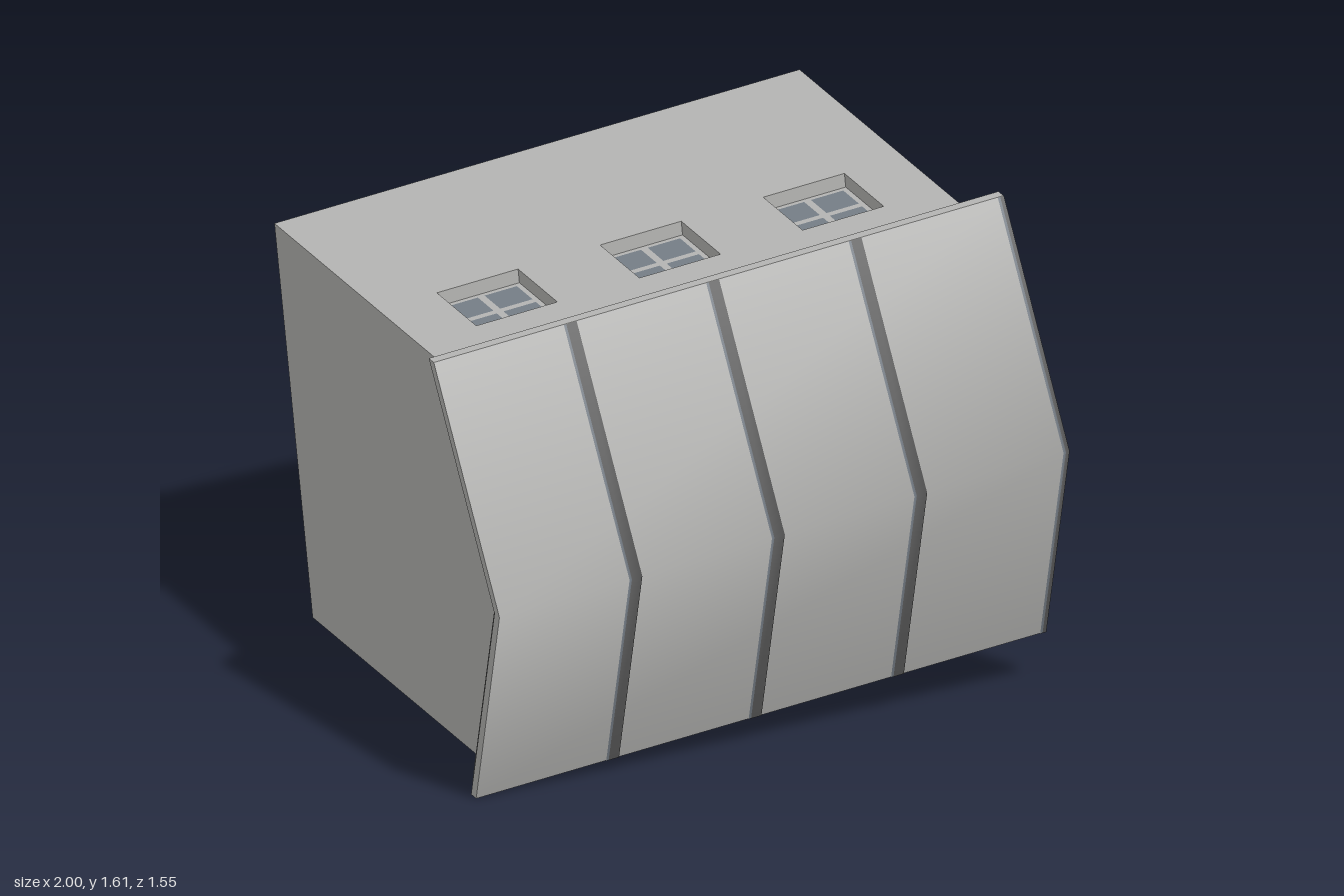
import * as THREE from 'three';

const mat = (name, color) => {
  const m = new THREE.MeshStandardMaterial({ color, side: THREE.DoubleSide });
  m.name = name;
  return m;
};

// Overall dimensions
const W = 0.861, H = 0.648, BACK = -0.772, LAYERS = 4;
const halfW = k => 0.934 - 0.01825 * k;
const halfH = k => 0.717 - 0.01725 * k;
const bentZ = (offset, y) => 0.772 - 0.034 * offset - 0.42 * Math.abs(y);

// Outline of the bent facade: size of layer k, at depth offset
const outline = (k, offset) => {
  const w = halfW(k), h = halfH(k);
  return [[w, h], [-w, h], [-w, 0], [-w, -h], [w, -h], [w, 0]]
    .map(([x, y]) => [x, y, bentZ(offset, y)]);
};

// Flat-shaded strip of quads between two outlines
function band(a, b, closed = true) {
  const pos = [], n = a.length;
  for (let i = 0; i < (closed ? n : n - 1); i++) {
    const j = (i + 1) % n;
    pos.push(...a[i], ...a[j], ...b[i], ...a[j], ...b[j], ...b[i]);
  }
  const g = new THREE.BufferGeometry();
  g.setAttribute('position', new THREE.Float32BufferAttribute(pos, 3));
  g.computeVertexNormals();
  return g;
}

// Sheet folded outward along its middle, shaded smoothly
function bentSheet(x, width, height, lift) {
  const g = new THREE.PlaneGeometry(width, height, 1, 2).translate(x, 0, 0);
  const p = g.attributes.position;
  for (let i = 0; i < p.count; i++) p.setZ(i, bentZ(0, p.getY(i)) + lift);
  const flat = g;
  flat.computeVertexNormals();
  return flat;
}

const poly = pts => new THREE.Shape(pts.map(([x, y]) => new THREE.Vector2(x, y)));
const rect = (x, y, hw, hh) => [[x - hw, y - hh], [x + hw, y - hh], [x + hw, y + hh], [x - hw, y + hh]];

export function createModel() {
  const plaster = mat('wall grey', 0xb4b4b2);
  const seam = mat('dark seam', 0x5a5a5a);
  const glass = mat('blue grey glass', 0x757d86);

  const model = new THREE.Group();
  model.name = 'tiltedRoom';
  const room = new THREE.Group();
  room.name = 'room';
  room.position.y = 0.803;
  room.rotation.z = THREE.MathUtils.degToRad(5.53);
  model.add(room);

  const add = (name, geometry, material, parent = room) => {
    const m = new THREE.Mesh(geometry, material);
    m.name = name;
    parent.add(m);
    return m;
  };

  // Folded front facade
  add('frontFacade', bentSheet(0, 2 * halfW(0), 2 * halfH(0), 0), plaster);

  // Stepped rim behind the facade
  for (let k = 0; k < LAYERS; k++) {
    add('rimEdge', band(outline(k, k), outline(k, k + 1)), plaster);
    add('rimStep', band(outline(k, k + 1), outline(k + 1, k + 1)), plaster);
  }

  // Dark seams with a glass sliver, on both faces of the facade
  for (let i = 0; i < 4; i++) {
    const right = -0.467 + 0.467 * i;
    const width = i === 3 ? 0.02 : 0.042;
    const sliver = 0.008;
    for (const lift of [0.003, -0.003]) {
      add('facadeSeam', bentSheet(right - (width - sliver) / 2, width - sliver, 2 * halfH(0), lift), seam);
      add('seamGlass', bentSheet(right - width + sliver / 2, sliver, 2 * halfH(0), lift), glass);
    }
  }

  // Side walls, open at the back
  const frontZ = bentZ(LAYERS, H), midZ = bentZ(LAYERS, 0);
  for (const s of [1, -1]) {
    const g = new THREE.ShapeGeometry(poly([[BACK, -H], [frontZ, -H], [midZ, 0], [frontZ, H], [BACK, H]]));
    g.rotateY(s * Math.PI / 2);
    if (s > 0) g.scale(1, 1, 1).applyMatrix4(new THREE.Matrix4().makeRotationX(0));
    // The shape's x runs along -z on the +x side, so turn it end for end there
    if (s > 0) g.rotateX(Math.PI);
    g.translate(s * W, 0, 0);
    add(s > 0 ? 'leftWall' : 'rightWall', g, plaster);
  }

  // Roof with three window openings
  const winX = [-0.535, 0, 0.535], winZ = 0.0625, winHalf = 0.133, winDepth = 0.045;
  const roof = poly([[-W, -frontZ], [W, -frontZ], [W, -BACK], [-W, -BACK]]);
  for (const x of winX) roof.holes.push(poly(rect(x, -winZ, winHalf, winHalf)));
  add('roof', new THREE.ShapeGeometry(roof).rotateX(-Math.PI / 2).translate(0, H, 0), plaster);

  // Sunken roof windows with four panes each
  const paneOffset = 0.064, paneHalf = 0.053;
  for (const x of winX) {
    const win = new THREE.Group();
    win.name = 'roofWindow';
    win.position.set(x, H, winZ);
    room.add(win);
    const ring = y => rect(0, 0, winHalf, winHalf).map(([a, b]) => [a, y, b]);
    add('windowReveal', band(ring(-winDepth), ring(0)), plaster, win);
    const frame = poly(rect(0, 0, winHalf, winHalf));
    for (const px of [-paneOffset, paneOffset]) for (const pz of [-paneOffset, paneOffset]) {
      frame.holes.push(poly(rect(px, pz, paneHalf, paneHalf)));
      add('windowPane', new THREE.PlaneGeometry(2 * paneHalf, 2 * paneHalf)
        .rotateX(-Math.PI / 2).translate(px, -winDepth, pz), glass, win);
    }
    add('windowFrame', new THREE.ShapeGeometry(frame).rotateX(-Math.PI / 2).translate(0, -winDepth, 0), plaster, win);
  }

  // Floor with a sunken U-shaped channel open to the back
  const outer = [[-0.31, BACK], [-0.31, 0.25], [0.31, 0.25], [0.31, BACK]];
  const inner = [[-0.19, BACK], [-0.19, 0.14], [0.19, 0.14], [0.19, BACK]];
  const drop = 0.036;
  const slab = (name, pts, y) =>
    add(name, new THREE.ShapeGeometry(poly(pts)).rotateX(Math.PI / 2).translate(0, y, 0), plaster);
  slab('floor', [[-W, BACK], ...outer, [W, BACK], [W, frontZ], [-W, frontZ]], -H);
  slab('floorIsland', inner, -H);
  slab('channelBase', [...outer, ...[...inner].reverse()], -H - drop);
  const path = (pts, y) => pts.map(([x, z]) => [x, y, z]);
  add('channelOuterWall', band(path(outer, -H), path(outer, -H - drop), false), plaster);
  add('channelInnerWall', band(path(inner, -H - drop), path(inner, -H), false), plaster);

  return model;
}
